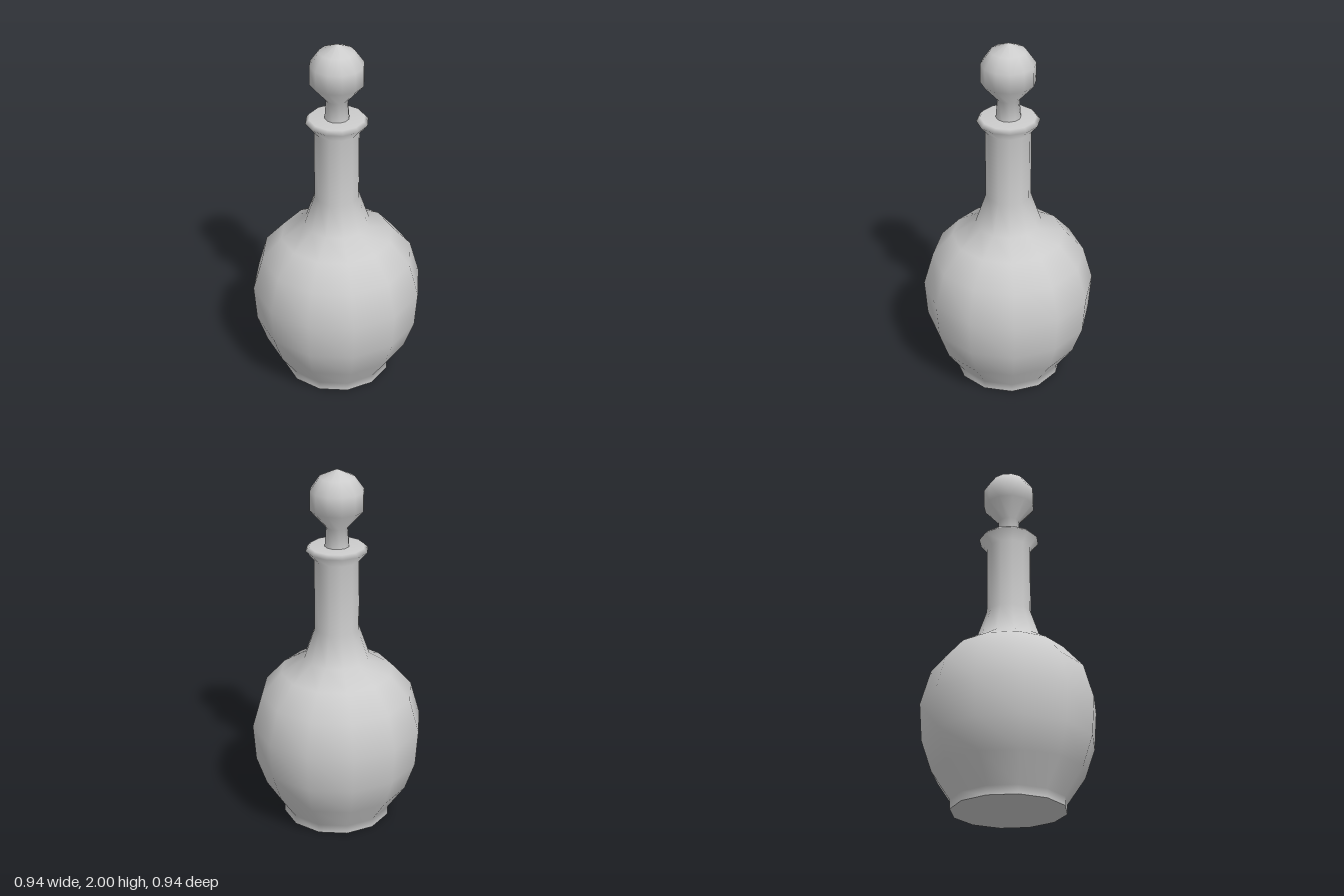
import * as THREE from 'three';

const SIDES = 12;
const material = new THREE.MeshStandardMaterial({ color: 0xcccccc });

// Smooth-shaded turned part from [radius, height] pairs, listed bottom to top
function turned(name, profile) {
  const points = profile.map(([r, y]) => new THREE.Vector2(r, y));
  const mesh = new THREE.Mesh(new THREE.LatheGeometry(points, SIDES), material);
  mesh.name = name;
  return mesh;
}

export function createModel() {
  const decanter = new THREE.Group();
  decanter.name = 'decanter';

  // Foot, round belly, shoulder, neck and flared lip
  decanter.add(turned('bottle', [
    [0.303, 0], [0.303, 0.048], [0.402, 0.195], [0.457, 0.357],
    [0.471, 0.56], [0.417, 0.748], [0.307, 0.872], [0.18, 0.95],
    [0.122, 1.12], [0.122, 1.512], [0.167, 1.565], [0.147, 1.586], [0, 1.586],
  ]));

  // Flat underside with a sharp edge
  const base = new THREE.Mesh(new THREE.CircleGeometry(0.303, SIDES), material);
  base.rotation.x = Math.PI / 2;
  base.name = 'base';
  decanter.add(base);

  // Stopper: tapered stem and ball
  decanter.add(turned('stopper', [
    [0.066, 1.58], [0.058, 1.69], [0.143, 1.785],
    [0.143, 1.888], [0.094, 1.957], [0, 2],
  ]));

  return decanter;
}
